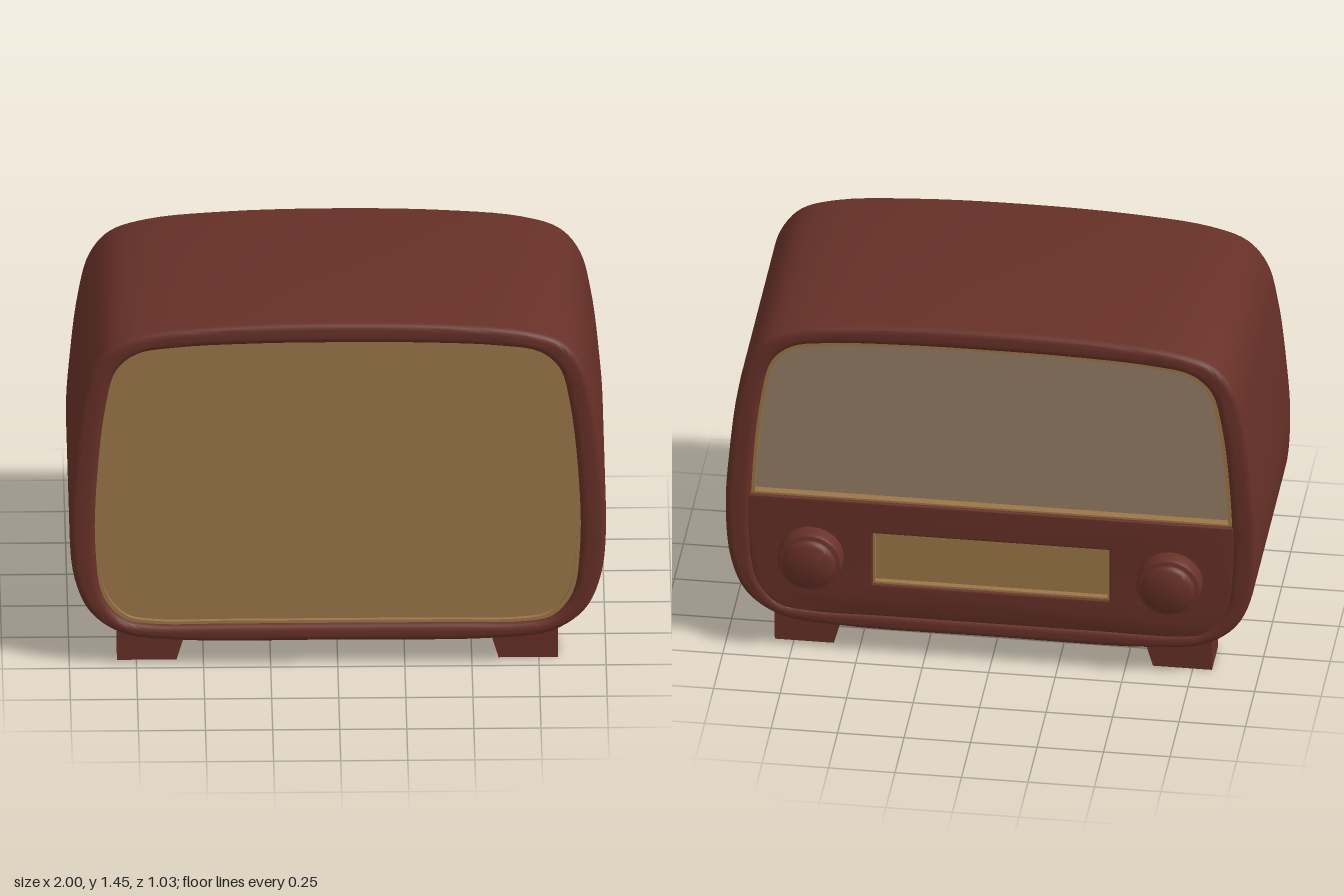
import * as THREE from 'three';
import { toCreasedNormals } from 'three/addons/utils/BufferGeometryUtils.js';

const brown = new THREE.MeshStandardMaterial({ color: 0x663027 });
brown.name = 'brown casing';
const tan = new THREE.MeshStandardMaterial({ color: 0x9b7648 });
tan.name = 'tan panel';
const screen = new THREE.MeshStandardMaterial({ color: 0x967d66 });
screen.name = 'grey tan screen';

const FRONT = 0.51, BACK = -0.44, CUT = 0.665;

// Smooth closed outline, mirrored from its right half (bottom centre to top centre)
function outline(half, steps) {
  const mirrored = half.slice(1, -1).reverse().map(([x, y]) => [-x, y]);
  const pts = [...half, ...mirrored].map(([x, y]) => new THREE.Vector3(x, y, 0));
  const curve = new THREE.CatmullRomCurve3(pts, true, 'centripetal');
  return curve.getPoints(steps).slice(0, -1).map((p) => new THREE.Vector2(p.x, p.y));
}

// Extrude a shape between two z positions, with optional rounded edges
function slab(points, hole, z0, z1, bevel = 0) {
  const shape = new THREE.Shape(points);
  if (hole) shape.holes.push(new THREE.Path(hole));
  const geo = new THREE.ExtrudeGeometry(shape, {
    depth: z1 - z0 - 2 * bevel,
    bevelEnabled: bevel > 0,
    bevelThickness: bevel,
    bevelSize: bevel,
    bevelOffset: -bevel,
    bevelSegments: 4,
  });
  geo.translate(0, 0, z0 + bevel);
  return toCreasedNormals(geo, 0.6);
}

function rect(x0, x1, y0, y1) {
  return [[x0, y0], [x1, y0], [x1, y1], [x0, y1]].map(([x, y]) => new THREE.Vector2(x, y));
}

export function createModel() {
  const model = new THREE.Group();
  const add = (name, geo, mat) => {
    const mesh = new THREE.Mesh(geo, mat);
    mesh.name = name;
    model.add(mesh);
    return mesh;
  };

  const outer = outline([
    [0, 0.11], [0.6, 0.114], [0.8, 0.143], [0.92, 0.23], [0.98, 0.37], [1, 0.6], [0.985, 0.85],
    [0.955, 1.1], [0.915, 1.26], [0.84, 1.355], [0.7, 1.405], [0.4, 1.435], [0, 1.445],
  ], 120);
  const inner = outline([
    [0, 0.18], [0.4, 0.18], [0.7, 0.182], [0.8, 0.205], [0.875, 0.3], [0.903, 0.5], [0.9, 0.75],
    [0.865, 1.1], [0.825, 1.25], [0.75, 1.318], [0.6, 1.345], [0.3, 1.36], [0, 1.363],
  ], 120);

  // Casing shell, open at both ends
  add('casing', slab(outer, inner, BACK, FRONT, 0.025), brown);

  // Thin lining just inside the openings
  const liningHole = inner.map((p) => new THREE.Vector2(p.x * 0.985, 0.77 + (p.y - 0.77) * 0.98));
  add('lining', slab(inner, liningHole, BACK + 0.02, FRONT - 0.02), tan);

  // Large flat panel at the front and screen at the back
  add('frontPanel', slab(inner, null, FRONT - 0.05, FRONT - 0.035), tan);
  add('screen', slab(inner, null, BACK + 0.05, BACK + 0.06), screen);

  // Control plate below the screen, with a window for the dial
  const lower = [
    ...inner.filter((p) => p.x >= 0 && p.y < CUT),
    new THREE.Vector2(0.903, CUT),
    new THREE.Vector2(-0.903, CUT),
    ...inner.filter((p) => p.x < 0 && p.y < CUT),
  ].map((p) => new THREE.Vector2(p.x * 1.012, CUT + (p.y - CUT) * 1.02));
  const plate = slab(lower, rect(-0.445, 0.445, 0.31, 0.53), BACK + 0.006, BACK + 0.05, 0.008);
  add('controlPlate', plate, brown);
  add('screenLedge', slab(rect(-0.89, 0.89, CUT - 0.005, CUT + 0.008), null, BACK + 0.018, BACK + 0.052), tan);

  // Dial plate with a thin frame
  add('dial', slab(rect(-0.46, 0.46, 0.3, 0.54), null, BACK + 0.037, BACK + 0.046), tan);
  add('dialFrame', slab(rect(-0.448, 0.448, 0.307, 0.533), rect(-0.437, 0.437, 0.318, 0.522),
    BACK + 0.014, BACK + 0.04), tan);

  // Stepped, rounded knobs
  const profile = [
    [0.122, -0.03], [0.122, 0.04], [0.116, 0.054], [0.1, 0.058], [0.096, 0.07], [0.085, 0.078], [0, 0.08],
  ].map(([r, h]) => new THREE.Vector2(r, h));
  const knobGeo = toCreasedNormals(new THREE.LatheGeometry(profile, 40), 0.7);
  knobGeo.rotateX(-Math.PI / 2);

  for (const side of [1, -1]) {
    const sideName = side > 0 ? 'left' : 'right';
    add(`${sideName}Knob`, knobGeo, brown).position.set(side * 0.675, 0.42, BACK);

    // Feet: blocks tapered on their inward faces
    for (const [end, zOut, zIn] of [['Front', 0.44, 0.24], ['Back', -0.375, -0.165]]) {
      const geo = new THREE.BoxGeometry(1, 1, 1);
      const pos = geo.attributes.position;
      const dir = Math.sign(zOut);
      for (let i = 0; i < pos.count; i++) {
        const bottom = pos.getY(i) < 0;
        const outward = pos.getX(i) * side > 0;
        const endward = pos.getZ(i) * dir > 0;
        pos.setXYZ(i,
          side * (outward ? 0.822 : bottom ? 0.6 : 0.555),
          bottom ? 0 : 0.16,
          endward ? zOut - dir * (bottom ? 0.006 : 0) : zIn + dir * (bottom ? 0.045 : 0));
      }
      geo.computeVertexNormals();
      add(`${sideName}${end}Foot`, geo, brown);
    }
  }

  return model;
}
